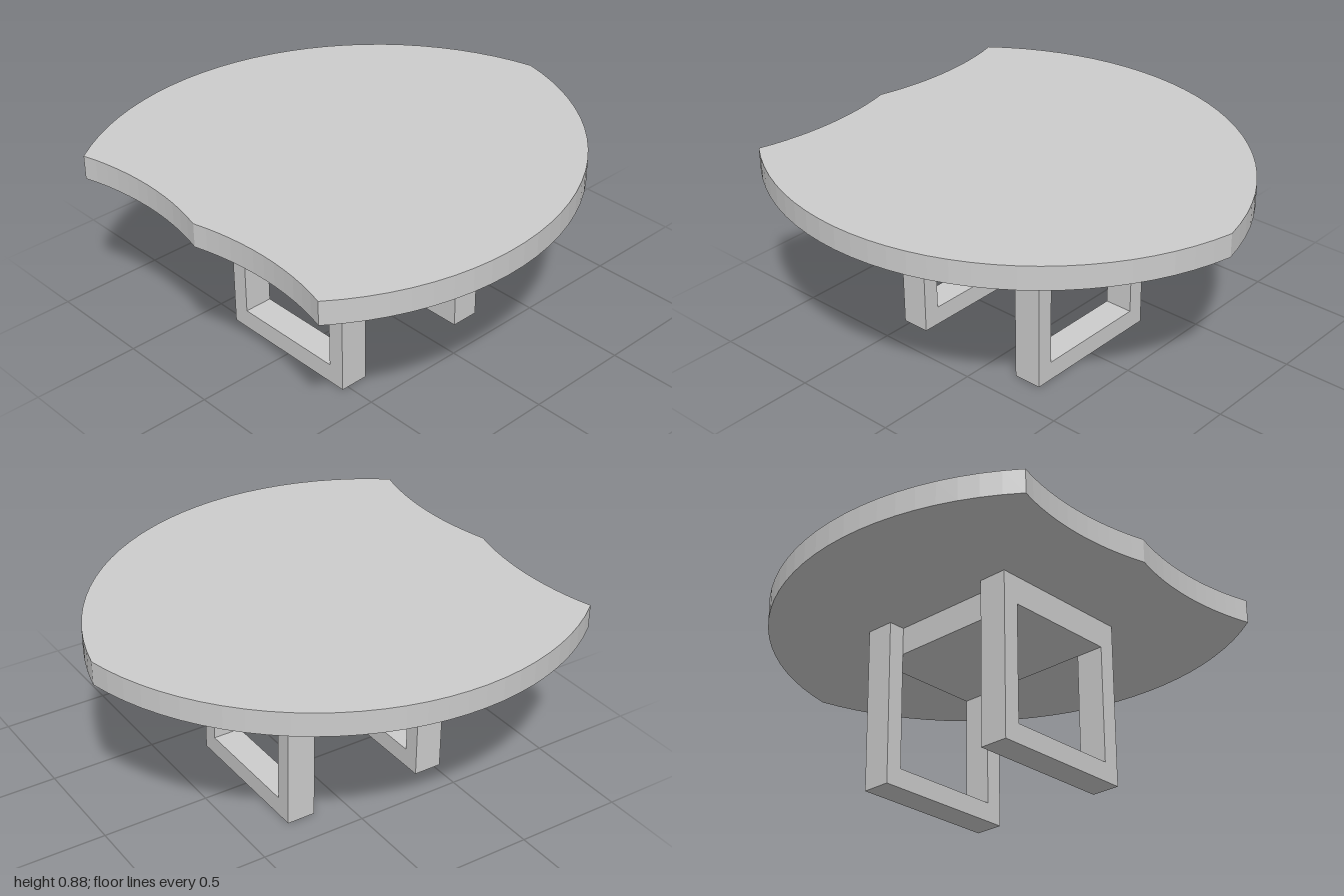
import * as THREE from 'three';

const material = new THREE.MeshStandardMaterial({ color: 0xcccccc });

function addMesh(group, name, geometry) {
  const mesh = new THREE.Mesh(geometry, material);
  mesh.name = name;
  group.add(mesh);
  return mesh;
}

// Points along a circular arc given its centre and its two ends
function arcPoints(centre, from, to, segments) {
  const a = Math.atan2(from[1] - centre[1], from[0] - centre[0]);
  const b = Math.atan2(to[1] - centre[1], to[0] - centre[0]);
  const r = Math.hypot(from[0] - centre[0], from[1] - centre[1]);
  return Array.from({ length: segments + 1 }, (_, i) => {
    const t = a + (b - a) * i / segments;
    return new THREE.Vector2(centre[0] + r * Math.cos(t), centre[1] + r * Math.sin(t));
  });
}

// Leaf-shaped top: one half of the outline, mirrored, drawn in x and z
function tabletopGeometry(top, thickness) {
  const tip = [0, -1], corner = [0.737, 0.995], notch = [0, 0.995];
  const half = [
    ...arcPoints([-0.256, 0.23], tip, corner, 28),
    ...arcPoints([0.3685, 2.32], corner, notch, 12).slice(1),
  ];
  const mirrored = half.slice(1, -1).reverse().map(p => new THREE.Vector2(-p.x, p.y));
  const geometry = new THREE.ExtrudeGeometry(new THREE.Shape([...half, ...mirrored]), {
    depth: thickness, bevelEnabled: false,
  });
  return geometry.rotateX(Math.PI / 2).translate(0, top, 0);
}

function rectangle(Type, x, y0, y1) {
  return new Type([[-x, y0], [x, y0], [x, y1], [-x, y1]].map(p => new THREE.Vector2(...p)));
}

export function createModel() {
  const model = new THREE.Group();
  model.name = 'table';
  const topY = 0.88, underside = 0.77;

  addMesh(model, 'tabletop', tabletopGeometry(topY, topY - underside));

  // Two rectangular leg frames with a window
  const frame = rectangle(THREE.Shape, 0.355, 0, underside);
  frame.holes.push(rectangle(THREE.Path, 0.275, 0.09, 0.64));
  const frameGeometry = new THREE.ExtrudeGeometry(frame, { depth: 0.135, bevelEnabled: false });
  for (const [name, z] of [['frontLegFrame', 0.395], ['backLegFrame', -0.29]]) {
    addMesh(model, name, frameGeometry).position.z = z;
  }

  // Block joining the frames under the top
  const block = addMesh(model, 'connectingBlock', new THREE.BoxGeometry(0.55, 0.13, 0.55));
  block.position.set(0, 0.705, 0.12);

  return model;
}
